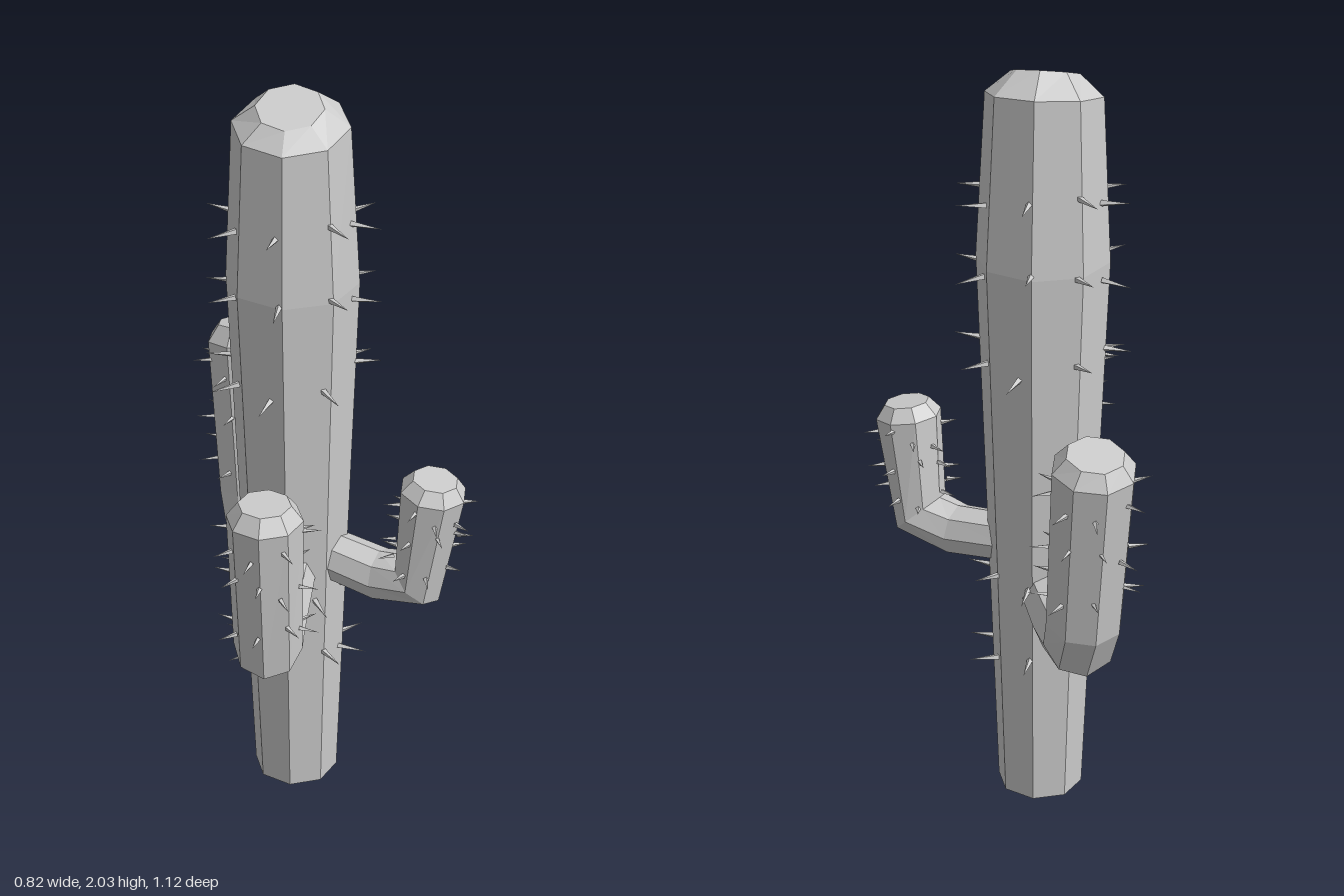
import * as THREE from 'three';
import { mergeGeometries } from 'three/addons/utils/BufferGeometryUtils.js';

const SIDES = 8;
const UP = new THREE.Vector3(0, 1, 0);
const material = new THREE.MeshStandardMaterial({ color: 0xcccccc, flatShading: true, side: THREE.DoubleSide });

// Frames along a stem that bends in one vertical plane.
// Each point is [distance from the axis, height, radius].
function makeFrames(origin, dir, points) {
  const side = new THREE.Vector3().crossVectors(UP, dir);
  const step = (a, b) => new THREE.Vector2(b[0] - a[0], b[1] - a[1]).normalize();
  return points.map((p, i) => {
    const t = new THREE.Vector2();
    if (i > 0) t.add(step(points[i - 1], p));
    if (i < points.length - 1) t.add(step(p, points[i + 1]));
    t.normalize();
    return {
      center: origin.clone().addScaledVector(dir, p[0]).setY(p[1]),
      normal: dir.clone().multiplyScalar(t.y).addScaledVector(UP, -t.x),
      side,
      radius: p[2],
    };
  });
}

const radial = (f, a) =>
  f.normal.clone().multiplyScalar(Math.cos(a)).addScaledVector(f.side, Math.sin(a));

// Closed octagonal skin through the frames
function skin(frames) {
  const pos = [], index = [];
  for (const f of frames) {
    for (let k = 0; k < SIDES; k++) {
      const v = f.center.clone().addScaledVector(radial(f, (k / SIDES) * Math.PI * 2), f.radius);
      pos.push(v.x, v.y, v.z);
    }
  }
  for (let i = 0; i < frames.length - 1; i++) {
    for (let k = 0; k < SIDES; k++) {
      const a = i * SIDES + k, b = i * SIDES + ((k + 1) % SIDES);
      index.push(a, b, b + SIDES, a, b + SIDES, a + SIDES);
    }
  }
  const top = (frames.length - 1) * SIDES;
  for (let k = 1; k < SIDES - 1; k++) {
    index.push(0, k + 1, k);
    index.push(top, top + k, top + k + 1);
  }
  const g = new THREE.BufferGeometry();
  g.setAttribute('position', new THREE.Float32BufferAttribute(pos, 3));
  g.setIndex(index);
  const flat = g.toNonIndexed();
  flat.computeVertexNormals();
  return flat;
}

// Rings of thin cones between two frames, slightly staggered
function spines(lower, upper, heights, length, width) {
  const cones = [];
  heights.forEach((y, row) => {
    const s = (y - lower.center.y) / (upper.center.y - lower.center.y);
    const center = lower.center.clone().lerp(upper.center, s);
    const radius = THREE.MathUtils.lerp(lower.radius, upper.radius, s);
    for (let k = 0; k < SIDES; k++) {
      const wobble = Math.sin(row * 2.3 + k * 1.7);
      const a = (k / SIDES) * Math.PI * 2 - 0.12 + 0.12 * wobble;
      const out = radial({ normal: lower.flatNormal, side: lower.side }, a);
      const aim = out.clone().addScaledVector(UP, 0.12 * Math.cos(row + k * 2.1)).normalize();
      const cone = new THREE.ConeGeometry(width, length, 4);
      cone.translate(0, length / 2, 0);
      cone.applyQuaternion(new THREE.Quaternion().setFromUnitVectors(UP, aim));
      const base = center.clone().addScaledVector(out, radius * 0.94);
      cone.translate(base.x, base.y + 0.025 * wobble, base.z);
      cones.push(cone);
    }
  });
  return mergeGeometries(cones);
}

function makeStem(name, spec) {
  const group = new THREE.Group();
  group.name = name;
  const dir = new THREE.Vector3(spec.dir[0], 0, spec.dir[1]).normalize();
  const origin = new THREE.Vector3(spec.origin[0], 0, spec.origin[1]);
  const frames = makeFrames(origin, dir, spec.points);
  frames.forEach((f) => { f.flatNormal = dir; });
  const body = new THREE.Mesh(skin(frames), material);
  body.name = name + 'Body';
  group.add(body);
  spec.spines.forEach(([from, to, heights]) => {
    const mesh = new THREE.Mesh(
      spines(frames[from], frames[to], heights, spec.spineLength, spec.spineWidth), material);
    mesh.name = name + 'Spines';
    group.add(mesh);
  });
  return group;
}

export function createModel() {
  const cactus = new THREE.Group();
  cactus.name = 'cactus';

  // Trunk, swelling in the middle and chamfered at the top
  const trunk = makeStem('trunk', {
    origin: [-0.08, -0.03], dir: [0, 1],
    points: [[0, 0, 0.115], [-0.003, 1.53, 0.17], [0.003, 1.95, 0.147], [0.02, 2, 0.085]],
    spines: [[0, 1, [0.43, 0.65, 1.28, 1.52]], [1, 2, [1.71]]],
    spineLength: 0.08, spineWidth: 0.009,
  });

  // Three arms that leave the trunk sideways and turn upward
  const frontArm = makeStem('frontArm', {
    origin: [-0.08, -0.03], dir: [0, 1],
    points: [[0.05, 0.71, 0.07], [0.33, 0.692, 0.077], [0.445, 0.72, 0.088],
      [0.463, 1.115, 0.096], [0.463, 1.155, 0.066]],
    spines: [[2, 3, [0.8, 0.94, 1.06]]],
    spineLength: 0.05, spineWidth: 0.007,
  });
  const leftArm = makeStem('leftArm', {
    origin: [-0.08, -0.048], dir: [0.936, 0.352],
    points: [[0.05, 0.735, 0.066], [0.256, 0.71, 0.07], [0.37, 0.735, 0.08],
      [0.405, 1.015, 0.088], [0.41, 1.05, 0.06]],
    spines: [[2, 3, [0.8, 0.89, 0.97]]],
    spineLength: 0.045, spineWidth: 0.007,
  });
  const backArm = makeStem('backArm', {
    origin: [-0.08, -0.033], dir: [-0.447, -0.895],
    points: [[0.05, 0.635, 0.078], [0.22, 0.61, 0.088], [0.335, 0.625, 0.097],
      [0.365, 0.7, 0.1], [0.425, 1.145, 0.107], [0.435, 1.187, 0.074]],
    spines: [[3, 4, [0.8, 0.93, 1.07]]],
    spineLength: 0.055, spineWidth: 0.007,
  });

  cactus.add(trunk, frontArm, leftArm, backArm);
  return cactus;
}
